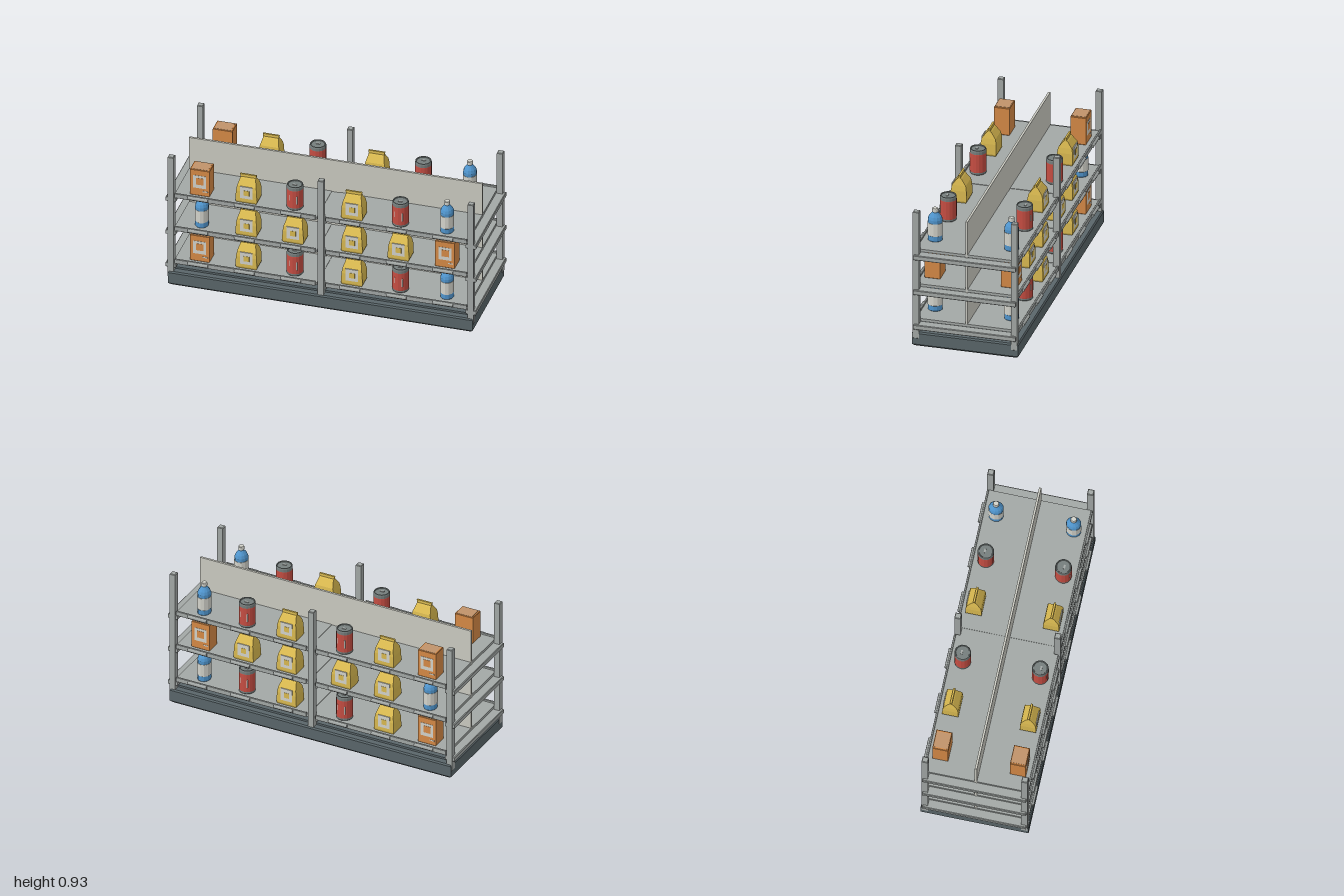
import * as THREE from 'three';

const mat = (name, color) => {
  const m = new THREE.MeshStandardMaterial({ color });
  m.name = name;
  return m;
};
const METAL = mat('shelf metal', 0xa3a8a6);
const BASE = mat('dark base', 0x5a666a);
const PANEL = mat('panel off-white', 0xcbcbc2);
const LABEL = mat('label white', 0xd3d3cb);
const ORANGE = mat('carton orange', 0xd68a46);
const TAN = mat('carton tape tan', 0xc0936a);
const YELLOW = mat('bag yellow', 0xd9b950);
const RED = mat('can red', 0xc54d42);
const BLUE = mat('bottle blue', 0x4f94cc);
const TIN = mat('can tin', 0x767e7d);

// Stacked rectangular sections [y, width, depth], joined with flat faces
function loft(sections) {
  const corners = [[1, 1], [1, -1], [-1, -1], [-1, 1]];
  const rings = sections.map(([y, w, d]) => corners.map(([x, z]) => [x * w / 2, y, z * d / 2]));
  const pos = [];
  const quad = (a, b, c, d) => [a, b, c, a, c, d].forEach((p) => pos.push(...p));
  for (let r = 0; r < rings.length - 1; r++) {
    const lo = rings[r], hi = rings[r + 1];
    for (let i = 0; i < 4; i++) {
      const j = (i + 1) % 4;
      quad(lo[i], lo[j], hi[j], hi[i]);
    }
  }
  const b = rings[0], t = rings[rings.length - 1];
  quad(t[0], t[1], t[2], t[3]);
  quad(b[3], b[2], b[1], b[0]);
  const g = new THREE.BufferGeometry();
  g.setAttribute('position', new THREE.Float32BufferAttribute(pos, 3));
  g.computeVertexNormals();
  return g;
}

// Box with small chamfers on top and bottom, standing on y = 0
const chamferBox = (w, h, d, c = 0.004) => loft([
  [0, w - 2 * c, d - 2 * c], [c, w, d], [h - c, w, d], [h, w - 2 * c, d - 2 * c],
]);

// Faceted turned part from [radius, y] points
function turned(points, sides) {
  const g = new THREE.LatheGeometry(points.map(([x, y]) => new THREE.Vector2(x, y)), sides).toNonIndexed();
  g.computeVertexNormals();
  return g;
}

function add(parent, name, geometry, material, x = 0, y = 0, z = 0) {
  const m = new THREE.Mesh(geometry, material);
  m.name = name;
  m.position.set(x, y, z);
  parent.add(m);
  return m;
}

const box = (w, h, d) => new THREE.BoxGeometry(w, h, d);

function group(name) {
  const g = new THREE.Group();
  g.name = name;
  return g;
}

// Products face +z and stand on y = 0
function carton() {
  const g = group('carton');
  add(g, 'cartonBody', chamferBox(0.126, 0.186, 0.1, 0.003), ORANGE);
  add(g, 'cartonTape', box(0.104, 0.003, 0.09), TAN, 0, 0.186);
  add(g, 'cartonLabel', box(0.084, 0.09, 0.003), LABEL, 0, 0.1, 0.05);
  add(g, 'cartonEmblem', box(0.048, 0.048, 0.003), ORANGE, 0.002, 0.104, 0.0515);
  add(g, 'cartonStrip', box(0.032, 0.008, 0.003), LABEL, 0.036, 0.034, 0.05);
  return g;
}

function bag() {
  const g = group('bag');
  add(g, 'bagBody', loft([
    [0, 0.128, 0.094], [0.012, 0.138, 0.102], [0.08, 0.134, 0.1], [0.115, 0.122, 0.088],
    [0.155, 0.1, 0.03], [0.162, 0.1, 0.014], [0.18, 0.106, 0.012],
  ]), YELLOW);
  add(g, 'bagLabel', box(0.08, 0.084, 0.006), LABEL, 0, 0.074, 0.049);
  add(g, 'bagEmblem', box(0.036, 0.036, 0.003), YELLOW, 0.002, 0.072, 0.052);
  return g;
}

function can() {
  const g = group('can');
  add(g, 'canShell', turned([[0, 0], [0.049, 0], [0.052, 0.004], [0.052, 0.016]], 16), TIN);
  add(g, 'canBand', turned([[0.052, 0.016], [0.0525, 0.018], [0.0525, 0.138], [0.052, 0.14]], 16), RED);
  add(g, 'canLid', turned([
    [0.052, 0.14], [0.052, 0.157], [0.049, 0.166], [0.044, 0.166], [0.042, 0.161], [0, 0.161],
  ], 16), TIN);
  add(g, 'canTab', box(0.026, 0.004, 0.012), METAL, 0, 0.163, 0.006);
  add(g, 'canMark', box(0.005, 0.04, 0.004), LABEL, -0.024, 0.088, 0.046);
  add(g, 'canMark', box(0.008, 0.056, 0.004), LABEL, 0.024, 0.074, 0.046);
  return g;
}

function bottle() {
  const g = group('bottle');
  const S = 12;
  add(g, 'bottleBase', turned([[0, 0], [0.043, 0], [0.047, 0.004], [0.047, 0.037]], S), BLUE);
  add(g, 'bottleLabel', turned([[0.047, 0.037], [0.048, 0.038], [0.048, 0.122], [0.047, 0.123]], S), LABEL);
  add(g, 'bottleShoulder', turned([
    [0.047, 0.123], [0.047, 0.145], [0.04, 0.163], [0.022, 0.184], [0.017, 0.19], [0.017, 0.196], [0, 0.196],
  ], S), BLUE);
  add(g, 'bottleCap', turned([[0, 0.194], [0.02, 0.194], [0.02, 0.214], [0.017, 0.218], [0, 0.218]], S), LABEL);
  g.scale.x = 0.9;
  return g;
}

export function createModel() {
  const model = group('doubleSidedShelf');

  // Plinth
  add(model, 'plinth', loft([
    [0, 1.93, 0.65], [0.016, 1.964, 0.682], [0.09, 1.964, 0.682], [0.1, 1.95, 0.668],
  ]), BASE);
  add(model, 'plinthDeck', box(1.9, 0.02, 0.59), BASE, 0, 0.103);

  // Uprights and centre divider
  for (const x of [-0.966, 0, 0.966]) {
    for (const z of [-0.315, 0.315]) {
      add(model, 'upright', chamferBox(0.038, 0.87, 0.04), METAL, x, 0.056, z);
    }
  }
  add(model, 'dividerPanel', box(1.89, 0.7, 0.014), PANEL, 0, 0.53);

  const columns = [-0.79, -0.49, -0.19, 0.19, 0.49, 0.79];
  const tagGeometry = new THREE.CylinderGeometry(0.012, 0.012, 0.13, 8).rotateZ(Math.PI / 2);
  const levels = [
    [0.178, [carton, bag, can, bag, can, bottle]],
    [0.416, [bottle, bag, bag, bag, bag, carton]],
    [0.655, [carton, bag, can, bag, can, bottle]],
  ];

  for (const [top, products] of levels) {
    // Cross rails at the ends and the middle
    for (const s of [-1, 1]) {
      add(model, 'endRail', chamferBox(0.066, 0.033, 0.656), METAL, s * 0.967, top - 0.055);
    }
    add(model, 'middleRail', chamferBox(0.058, 0.052, 0.6), METAL, 0, top - 0.055);

    for (const s of [-1, 1]) {
      // Shelf boards with a raised lip on both long edges
      add(model, 'shelfBoard', box(0.92, 0.018, 0.65), METAL, s * 0.485, top - 0.009);
      for (const z of [-0.328, 0.328]) {
        add(model, 'shelfLip', chamferBox(0.906, 0.032, 0.012, 0.002), METAL, s * 0.487, top - 0.02, z);
      }
    }

    // Products and price holders, facing outwards on both sides
    columns.forEach((x, i) => {
      for (const side of [1, -1]) {
        const p = products[i]();
        p.position.set(x, top, side * 0.245);
        if (side < 0) p.rotation.y = Math.PI;
        model.add(p);
        add(model, 'priceHolder', tagGeometry, METAL, x, top - 0.002, side * 0.335);
      }
    });
  }
  return model;
}
